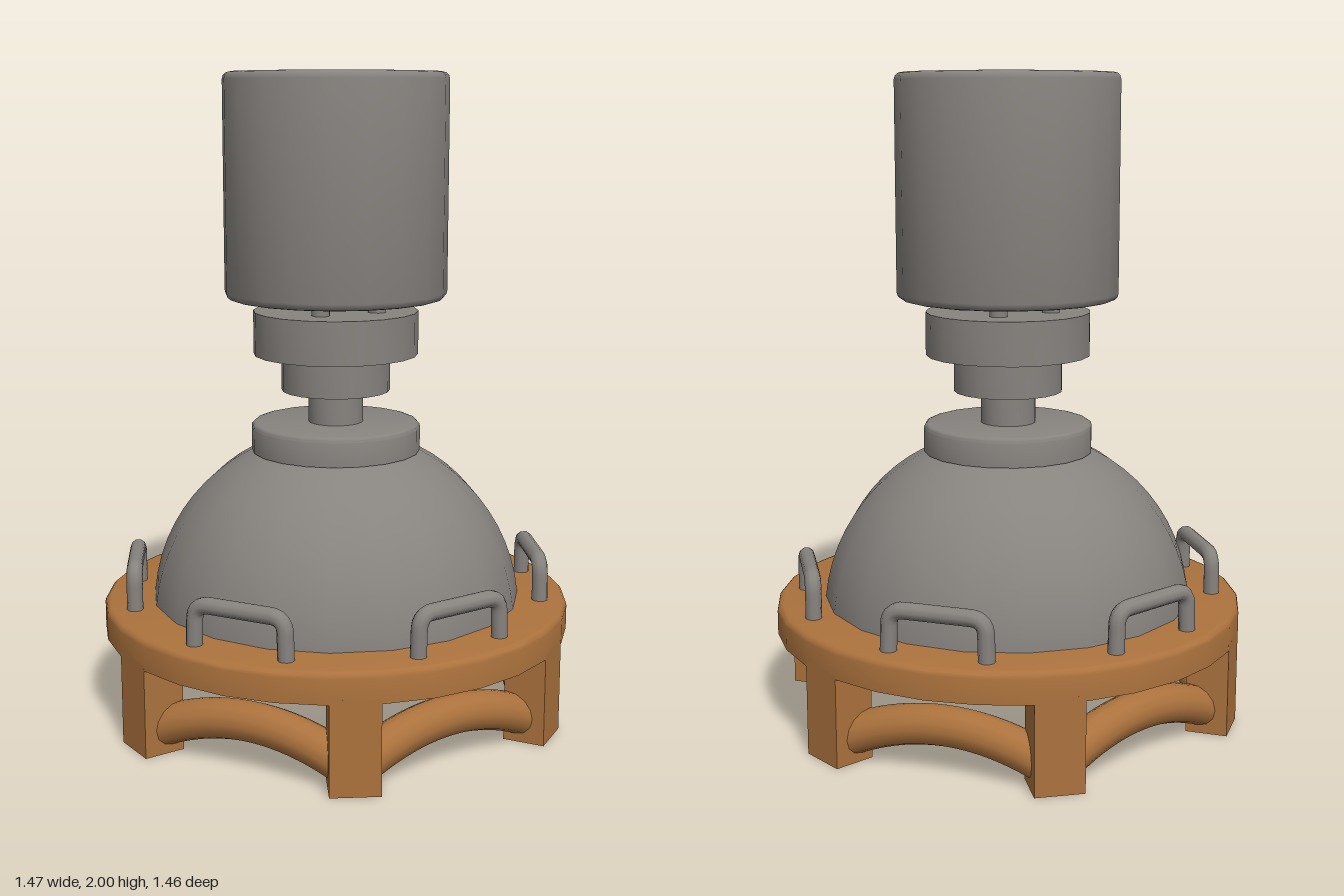
import * as THREE from 'three';
import { toCreasedNormals } from 'three/addons/utils/BufferGeometryUtils.js';

const grey = new THREE.MeshStandardMaterial({ color: 0x87837f });
grey.name = 'metal grey';
const orange = new THREE.MeshStandardMaterial({ color: 0xab723d });
orange.name = 'copper orange';

function add(parent, name, geometry, material) {
  const mesh = new THREE.Mesh(geometry, material);
  mesh.name = name;
  parent.add(mesh);
  return mesh;
}

// Closed round body with softened rims; bottomBevel and topBevel are radii.
function drum(radius, y0, y1, sides, bottomBevel = 0, topBevel = 0) {
  const pts = [new THREE.Vector2(0, y0)];
  const rim = (y, b, start, dir) => {
    if (!b) return pts.push(new THREE.Vector2(radius, y));
    for (let i = 0; i <= 3; i++) {
      const a = start + (i / 3) * (Math.PI / 2);
      pts.push(new THREE.Vector2(radius - b + b * Math.cos(a), y + dir * b + b * Math.sin(a)));
    }
  };
  rim(y0, bottomBevel, -Math.PI / 2, 1);
  rim(y1, topBevel, 0, -1);
  pts.push(new THREE.Vector2(0, y1));
  return toCreasedNormals(new THREE.LatheGeometry(pts, sides, Math.PI / 2), 0.6);
}

// Domed shell, hidden below the deck and under the collar.
function domeGeometry() {
  const pts = [];
  for (let i = 0; i <= 16; i++) {
    const a = (i / 16) * (Math.PI / 2);
    pts.push(new THREE.Vector2(0.585 * Math.cos(a), 0.31 + 0.585 * Math.sin(a)));
  }
  return new THREE.LatheGeometry(pts, 20);
}

// Staple-shaped grip with rounded corners; its feet sink into the deck.
function handleGeometry() {
  const v = (x, y) => new THREE.Vector3(x, y, 0);
  const path = new THREE.CurvePath();
  path.add(new THREE.LineCurve3(v(-0.15, 0.34), v(-0.147, 0.45)));
  path.add(new THREE.QuadraticBezierCurve3(v(-0.147, 0.45), v(-0.145, 0.493), v(-0.1, 0.493)));
  path.add(new THREE.LineCurve3(v(-0.1, 0.493), v(0.1, 0.493)));
  path.add(new THREE.QuadraticBezierCurve3(v(0.1, 0.493), v(0.145, 0.493), v(0.147, 0.45)));
  path.add(new THREE.LineCurve3(v(0.147, 0.45), v(0.15, 0.34)));
  return new THREE.TubeGeometry(path, 40, 0.025, 10);
}

// Arched brace whose ends sink into the neighbouring legs.
function braceGeometry() {
  const path = new THREE.QuadraticBezierCurve3(
    new THREE.Vector3(-0.31, 0.065, 0),
    new THREE.Vector3(0, 0.213, 0),
    new THREE.Vector3(0.31, 0.065, 0)
  );
  return new THREE.TubeGeometry(path, 20, 0.06, 14);
}

export function createModel() {
  const model = new THREE.Group();
  model.name = 'domed apparatus';

  // Base deck
  add(model, 'deck', drum(0.735, 0.275, 0.37, 30, 0, 0.02), orange);

  // Six legs, with a brace and a handle between each pair
  const leg = new THREE.BoxGeometry(0.148, 0.29, 0.128);
  const brace = braceGeometry();
  const handle = handleGeometry();
  for (let i = 0; i < 6; i++) {
    const sector = new THREE.Group();
    sector.name = 'baseSector';
    sector.rotation.y = THREE.MathUtils.degToRad(-6 + 60 * i);
    model.add(sector);
    add(sector, 'handle', handle, grey).position.z = 0.633;
    add(sector, 'brace', brace, orange).position.z = 0.578;

    const legPivot = new THREE.Group();
    legPivot.name = 'legPivot';
    legPivot.rotation.y = Math.PI / 6;
    sector.add(legPivot);
    add(legPivot, 'leg', leg, orange).position.set(0, 0.145, 0.667);
  }

  // Dome and stacked neck
  add(model, 'dome', domeGeometry(), grey);
  add(model, 'collar', drum(0.265, 0.835, 0.925, 20, 0, 0.015), grey);
  add(model, 'stem', drum(0.086, 0.92, 1.03, 20), grey);
  add(model, 'lowerFlange', drum(0.17, 1.025, 1.145, 20), grey);
  add(model, 'upperFlange', drum(0.257, 1.14, 1.275, 20), grey);

  // Four pins carrying the canister
  const pin = new THREE.CylinderGeometry(0.028, 0.028, 0.06, 12);
  for (let i = 0; i < 4; i++) {
    const a = (i * Math.PI) / 2;
    add(model, 'pin', pin, grey).position.set(0.135 * Math.cos(a), 1.295, 0.135 * Math.sin(a));
  }

  // Canister
  add(model, 'canister', drum(0.345, 1.315, 2, 20, 0.022, 0.022), grey);

  return model;
}
